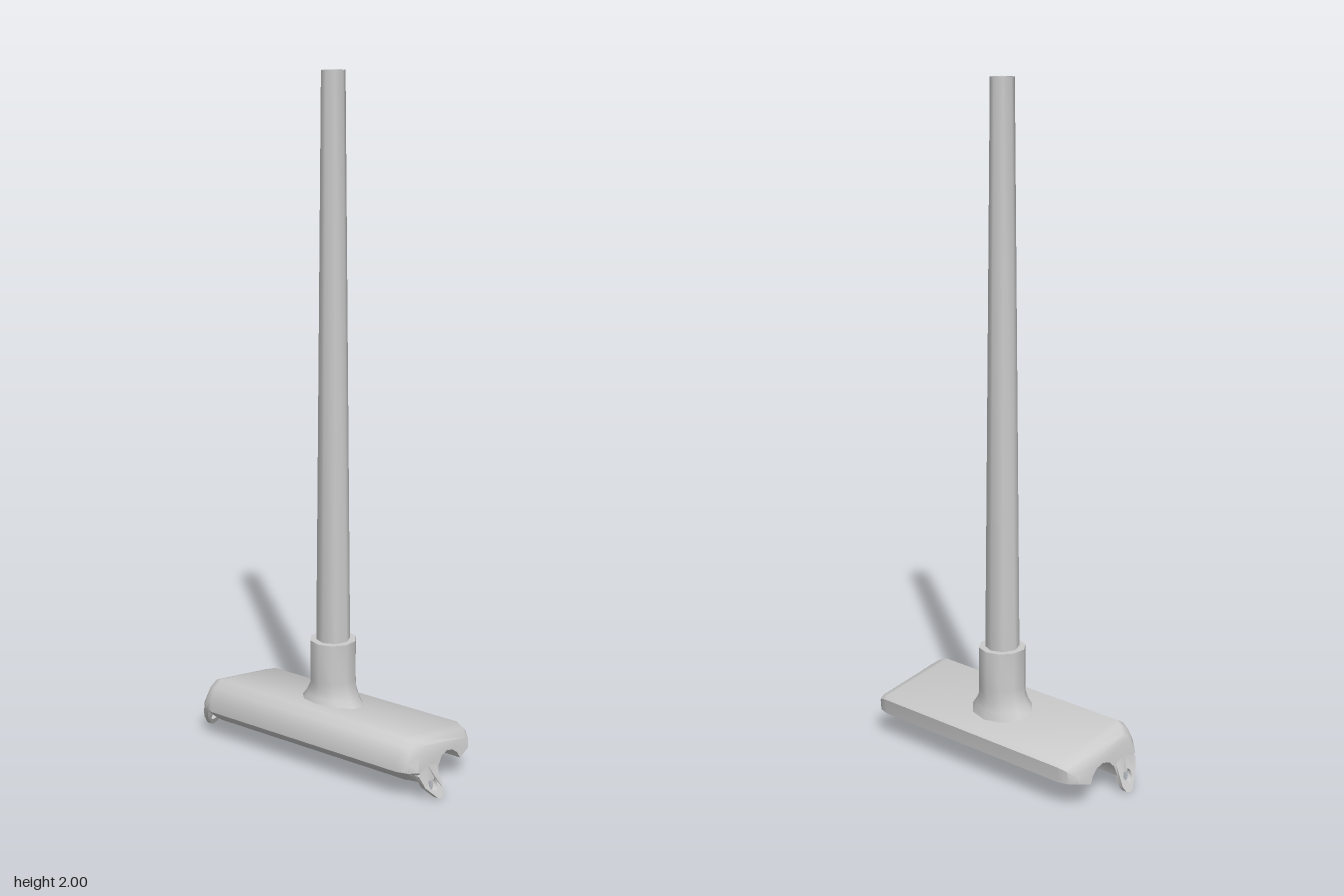
import * as THREE from 'three';
import { toCreasedNormals, mergeVertices } from 'three/addons/utils/BufferGeometryUtils.js';

const material = new THREE.MeshStandardMaterial({ color: 0xcccccc, side: THREE.DoubleSide });
const POLE_X = -0.007, POLE_Z = -0.014;

function addMesh(group, name, geometry, crease = 0.9) {
  const mesh = new THREE.Mesh(toCreasedNormals(geometry, crease), material);
  mesh.name = name;
  group.add(mesh);
  return mesh;
}

const lathe = (points, sides) =>
  new THREE.LatheGeometry(points.map(([r, y]) => new THREE.Vector2(r, y)), sides);

// Head cross-section as [z, y]: front, top, back, then the channel underneath
const PROFILE = [
  [0.155, 0.09], [0.155, 0.125], [0.137, 0.163], [0.11, 0.18],
  [-0.15, 0.137], [-0.16, 0.127], [-0.155, 0.08], [-0.08, 0.065],
  [-0.068, 0.085], [-0.048, 0.1], [-0.02, 0.107], [0.008, 0.1],
  [0.028, 0.08], [0.037, 0.05], [0.11, 0.05],
];

// Pulls the outer faces of the section inwards towards the ends of the head
function insetProfile(d) {
  return PROFILE.map(([z, y]) => [
    Math.abs(z) > 0.1 ? z - Math.sign(z) * d : z,
    y > 0.11 ? y - d * 0.85 : y,
  ]);
}

const sideX = (y) => 0.39 + (0.15 - y) * 0.17;

function headGeometry() {
  const half = [
    { inset: 0, x: () => 0.345 },
    { inset: 0.01, x: (y) => 0.372 + (0.15 - y) * 0.1 },
    { inset: 0.03, x: sideX },
  ];
  const stations = [
    ...[...half].reverse().map((h) => ({ ...h, s: -1 })),
    ...half.map((h) => ({ ...h, s: 1 })),
  ];
  const n = PROFILE.length, pos = [], index = [];
  for (const { inset, x, s } of stations) {
    for (const [z, y] of insetProfile(inset)) pos.push(s * x(y), y, z);
  }
  for (let i = 0; i < stations.length - 1; i++) {
    for (let j = 0; j < n; j++) {
      const k = (j + 1) % n;
      const a = i * n + j, b = i * n + k, c = b + n, d = a + n;
      index.push(a, c, b, a, d, c);
    }
  }
  // End caps
  const outline = insetProfile(0.03).map(([z, y]) => new THREE.Vector2(z, y));
  const last = (stations.length - 1) * n;
  for (const [a, b, c] of THREE.ShapeUtils.triangulateShape(outline, [])) {
    index.push(a, b, c, last + a, last + c, last + b);
  }
  const geo = new THREE.BufferGeometry();
  geo.setAttribute('position', new THREE.Float32BufferAttribute(pos, 3));
  geo.setIndex(index);
  return geo;
}

// Flared lug with a round hole; side is +1 or -1
function lugGeometry(side) {
  const outline = [[0.037, 0.085], [0.038, 0.02], [0.045, 0.006], [0.06, 0], [0.075, 0.006],
    [0.11, 0.043], [0.125, 0.08], [0.08, 0.1]];
  const shape = new THREE.Shape(outline.map(([z, y]) => new THREE.Vector2(-z, y)));
  const hole = new THREE.Path();
  hole.absarc(-0.073, 0.042, 0.019, 0, Math.PI * 2, true);
  shape.holes.push(hole);
  const t = 0.016;
  const geo = new THREE.ExtrudeGeometry(shape, { depth: t, bevelEnabled: false, curveSegments: 6 });
  geo.rotateY(Math.PI / 2);
  const p = geo.attributes.position;
  for (let i = 0; i < p.count; i++) {
    const drop = Math.max(0, 0.06 - p.getY(i));
    const x = sideX(p.getY(i)) - t / 2 + drop * 0.35;
    p.setX(i, side * x + p.getX(i) - t / 2);
  }
  return geo;
}

// Collar whose flared foot becomes oval and follows the sloping top of the head
function collarGeometry() {
  const geo = lathe([[0.105, 0.155], [0.086, 0.18], [0.074, 0.205], [0.07, 0.235],
    [0.07, 0.355], [0.045, 0.355]], 10);
  const p = geo.attributes.position;
  for (let i = 0; i < p.count; i++) {
    const t = Math.max(0, (0.235 - p.getY(i)) / 0.08);
    const z = p.getZ(i) * (1 - 0.22 * t);
    p.setZ(i, z);
    p.setY(i, p.getY(i) + z * 0.166 * t);
  }
  return geo;
}

export function createModel() {
  const model = new THREE.Group();
  model.name = 'longHandledTool';

  addMesh(model, 'head', headGeometry(), 0.75);
  addMesh(model, 'leftLug', lugGeometry(1), 0.7);
  addMesh(model, 'rightLug', lugGeometry(-1), 0.7);

  const collar = addMesh(model, 'collar', collarGeometry());
  collar.position.set(POLE_X, 0, POLE_Z);

  // Tapered pole with a shallow rounded socket in its top
  const pole = addMesh(model, 'pole', lathe([[0.052, 0.2], [0.034, 2], [0.026, 2],
    [0.025, 1.95], [0.017, 1.93], [0, 1.92]], 8));
  pole.position.set(POLE_X, 0, POLE_Z);

  return model;
}
